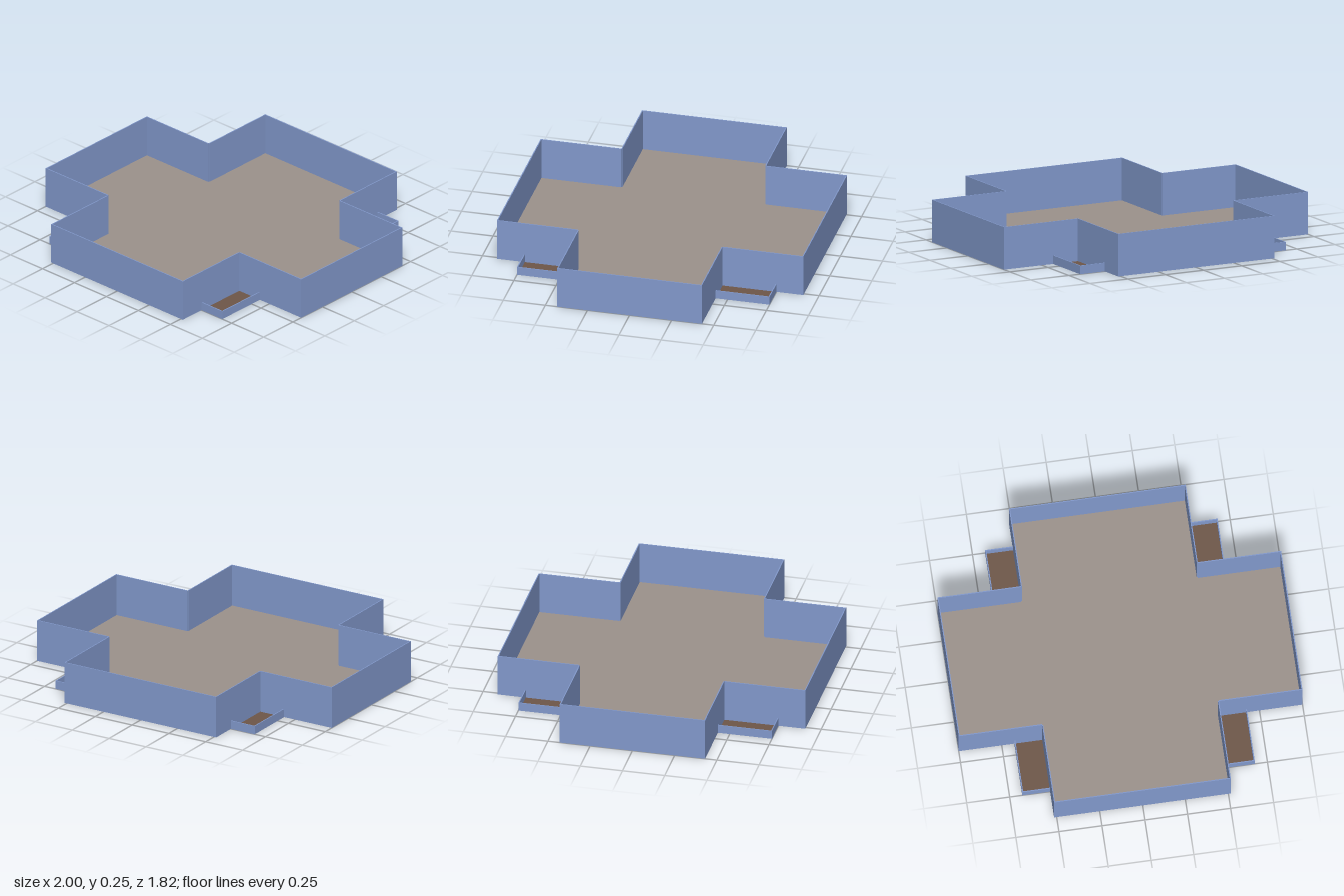
import * as THREE from 'three';

const HEIGHT = 0.25, RAIL = 0.145, THICK = 0.006, PARAPET = 0.05;
const X_OUT = 1, X_IN = 0.515, Z_OUT = 0.91, Z_IN = 0.43;

const blue = new THREE.MeshStandardMaterial({ color: 0x8299cc });
const stone = new THREE.MeshStandardMaterial({ color: 0x9c928c, side: THREE.DoubleSide });
const brown = new THREE.MeshStandardMaterial({ color: 0x6e5749, side: THREE.DoubleSide });

// Thin upright panel between two points on the plan
function panel(name, axis, a, b, at, y0, y1) {
  const len = Math.abs(b - a), mid = (a + b) / 2;
  const size = axis === 'x' ? [len, y1 - y0, THICK] : [THICK, y1 - y0, len];
  const mesh = new THREE.Mesh(new THREE.BoxGeometry(...size), blue);
  mesh.position.set(axis === 'x' ? mid : at, (y0 + y1) / 2, axis === 'x' ? at : mid);
  mesh.name = name;
  return mesh;
}

// Wall split into bays, each with a lower and an upper pane
function wall(name, axis, breaks, at) {
  const group = new THREE.Group();
  group.name = name;
  for (let i = 0; i < breaks.length - 1; i++) {
    group.add(panel('lowerPane', axis, breaks[i], breaks[i + 1], at, 0, RAIL));
    group.add(panel('upperPane', axis, breaks[i], breaks[i + 1], at, RAIL, HEIGHT));
  }
  return group;
}

function flat(name, shape, material) {
  const mesh = new THREE.Mesh(new THREE.ShapeGeometry(shape).rotateX(-Math.PI / 2), material);
  mesh.name = name;
  return mesh;
}

const mirrored = (list) => [...list.map((v) => -v).reverse(), ...list];

export function createModel() {
  const model = new THREE.Group();
  model.name = 'crossPlanStorey';
  const h = THICK / 2;

  // Cross-shaped floor
  const plan = [
    [X_OUT, Z_IN], [X_IN, Z_IN], [X_IN, Z_OUT], [-X_IN, Z_OUT], [-X_IN, Z_IN], [-X_OUT, Z_IN],
    [-X_OUT, -Z_IN], [-X_IN, -Z_IN], [-X_IN, -Z_OUT], [X_IN, -Z_OUT], [X_IN, -Z_IN], [X_OUT, -Z_IN],
  ].map(([x, z]) => new THREE.Vector2(x, z));
  model.add(flat('floor', new THREE.Shape(plan), stone));

  for (const s of [1, -1]) {
    // End walls of the four arms
    model.add(wall('longWall', 'x', mirrored([0.16, 0.32, 0.46, X_IN]), s * (Z_OUT - h)));
    model.add(wall('endWall', 'z', mirrored([0.07, 0.21, 0.36, Z_IN]), s * (X_OUT - h)));

    for (const t of [1, -1]) {
      // Notch walls; the narrow bay next to the corner is the balcony door
      model.add(wall('notchWall', 'x', [X_IN, 0.65, 0.8, 0.97, X_OUT].map((v) => v * s), t * (Z_IN - h)));
      model.add(wall('doorWall', 'z', [Z_IN, 0.47, 0.52, 0.7, 0.88, Z_OUT].map((v) => v * t), s * (X_IN - h)));

      // Balcony in each notch with a low parapet on its two open sides
      const balcony = new THREE.Group();
      balcony.name = 'balcony';
      const x = 0.677, z = 0.75;
      const deck = new THREE.Shape([[X_IN, Z_IN], [x, Z_IN], [x, z], [X_IN, z]]
        .map(([px, pz]) => new THREE.Vector2(px * s, -pz * t)));
      balcony.add(flat('balconyDeck', deck, brown));
      balcony.add(panel('balconyEndParapet', 'x', s * X_IN, s * x, t * (z - h), 0, PARAPET));
      balcony.add(panel('balconySideParapet', 'z', t * Z_IN, t * z, s * (x - h), 0, PARAPET));
      model.add(balcony);
    }
  }
  return model;
}
